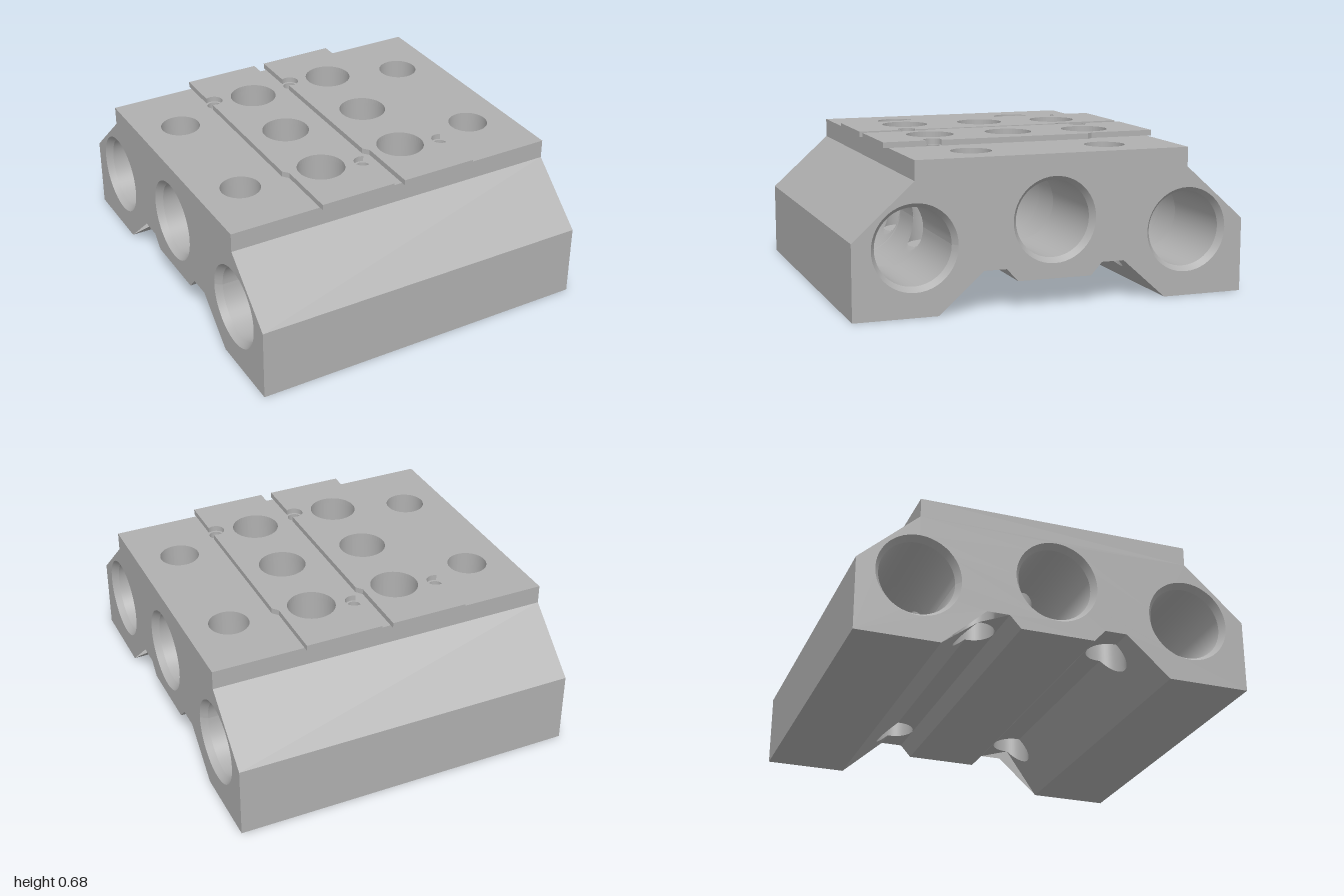
import * as THREE from 'three';

const HALF_D = 0.775, TOP = 0.65, PLATE_T = 0.025;
const PORT_R = 0.165, RIM_R = 0.185, MID_R = 0.195, MID_Z = 0.34;
const PILOT_R = 0.105, SCREW_R = 0.03, MOUNT_R = 0.088, MOUNT_X = 0.305, MOUNT_Z = 0.58;
const PILOT_FLOOR = 0.18, SEG = 48;

const steel = new THREE.MeshStandardMaterial({ color: 0xb0b0b0, side: THREE.DoubleSide });
steel.name = 'grey metal';

// Grid surface from a rule f(u, v) -> [x, y, z]; it faces du x dv
function sheet(nu, nv, f) {
  const pos = [], idx = [];
  for (let j = 0; j <= nv; j++) for (let i = 0; i <= nu; i++) pos.push(...f(i / nu, j / nv));
  for (let j = 0; j < nv; j++) for (let i = 0; i < nu; i++) {
    const a = j * (nu + 1) + i, c = a + nu + 1;
    idx.push(a, a + 1, c, a + 1, c + 1, c);
  }
  const g = new THREE.BufferGeometry();
  g.setAttribute('position', new THREE.Float32BufferAttribute(pos, 3));
  g.setIndex(idx);
  g.computeVertexNormals();
  return g;
}

// Flat shape drawn in (x, z), lifted to height(x)
function floorFace(shape, height, up) {
  const g = new THREE.ShapeGeometry(shape, SEG / 2), p = g.attributes.position;
  for (let i = 0; i < p.count; i++) p.setXYZ(i, p.getX(i), height(p.getX(i)), p.getY(i));
  if (up) g.index.array.reverse();
  g.computeVertexNormals();
  return g;
}

const circle = (x, y, r) => new THREE.Path().absarc(x, y, r, 0, Math.PI * 2, true);

// Wall of a vertical hole between two heights given as rules of x
const holeWall = (x, z, r, low, high) => sheet(SEG, 1, (u, v) => {
  const t = u * Math.PI * 2, px = x + r * Math.cos(t);
  return [px, v ? high(px) : low(px), z + r * Math.sin(t)];
});

const disc = (x, y, z, r) => new THREE.CircleGeometry(r, SEG).rotateX(-Math.PI / 2).translate(x, y, z);

// Cross-section, right half from the centre of the underside up to the top edge
const half = [[0.165, 0.12], [0.215, 0.175], [0.315, 0.175], [0.51, 0],
  [0.877, 0], [0.877, 0.325], [0.61, 0.565], [0.61, TOP]];
const outline = [...half, ...half.map(([x, y]) => [-x, y]).reverse()];
const grooveY = x => Math.min(0.175, 0.175 * (0.51 - Math.abs(x)) / 0.195);

// Bores running front to back: side = -1, 0, 1
const bores = [-1, 0, 1].map(side => ({ side, x: 0.61 * side, y: side ? 0.29 : 0.37 }));
// Stations and holes of the two top plates
const plateZ = [-0.2, 0.2];
const pilots = [], screws = [];
for (const z of plateZ) for (const s of [-1, 0, 1]) {
  pilots.push({ side: s, x: 0.362 * s, z: z + 0.02 * s });
  if (s) screws.push([0.406 * s, z - 0.163 * s]);
}
const mounts = [];
for (const x of [-MOUNT_X, MOUNT_X]) for (const z of [-MOUNT_Z, MOUNT_Z]) mounts.push([x, z]);

function buildBody(add) {
  // End faces with the three ports
  const end = new THREE.Shape(outline.map(p => new THREE.Vector2(...p)));
  bores.forEach(b => end.holes.push(circle(b.x, b.y, RIM_R)));
  for (const turn of [0, Math.PI])
    add(turn ? 'backFace' : 'frontFace',
      new THREE.ShapeGeometry(end, SEG / 2).translate(0, 0, HALF_D).rotateY(turn));

  // Plain long walls; drilled ones are made below
  const drilled = [1, 2, 7, 12, 13];
  outline.forEach(([x0, y0], i) => {
    if (drilled.includes(i)) return;
    const [x1, y1] = outline[(i + 1) % outline.length];
    add('longWall', sheet(1, 1, (u, v) => [x0 + (x1 - x0) * u, y0 + (y1 - y0) * u, (v * 2 - 1) * HALF_D]));
  });

  // Top face
  const top = new THREE.Shape([[-0.61, -HALF_D], [0.61, -HALF_D], [0.61, HALF_D], [-0.61, HALF_D]]
    .map(p => new THREE.Vector2(...p)));
  mounts.forEach(([x, z]) => top.holes.push(circle(x, z, MOUNT_R)));
  pilots.forEach(p => top.holes.push(circle(p.x, p.z, PILOT_R)));
  screws.forEach(([x, z]) => top.holes.push(circle(x, z, SCREW_R)));
  add('topFace', floorFace(top, () => TOP, true));

  // Groove roof and slope, each notched where the mounting holes break through
  const t0 = Math.acos((0.315 - MOUNT_X) / MOUNT_R);
  for (const [edge, inner] of [[0.215, true], [0.51, false]]) {
    const s = new THREE.Shape();
    s.moveTo(0.315, -HALF_D);
    for (const z of [-MOUNT_Z, MOUNT_Z]) s.absarc(MOUNT_X, z, MOUNT_R, -t0, t0, inner);
    s.lineTo(0.315, HALF_D);
    s.lineTo(edge, HALF_D);
    s.lineTo(edge, -HALF_D);
    for (const turn of [0, Math.PI])
      add(inner ? 'grooveRoof' : 'grooveSlope', floorFace(s, grooveY, false).rotateY(turn));
  }
}

function buildBores(add) {
  for (const b of bores) {
    const mine = pilots.filter(p => p.side === b.side);
    const dir = b.side === 0 ? Math.PI / 2 : b.side > 0 ? Math.PI : 0;
    // Half angle of the opening made by a pilot hole at depth z
    const gap = z => {
      for (const p of mine) {
        const s = Math.sqrt(Math.max(0, PILOT_R ** 2 - (z - p.z) ** 2));
        if (s < 1e-4) continue;
        if (!b.side) return Math.asin(s / MID_R);
        return Math.acos(Math.min(1, (0.248 - s) / MID_R));
      }
      return 0;
    };
    const tube = (name, rows, open) => add(name, sheet(SEG, rows.length - 1, (u, v) => {
      const [z, r] = rows[Math.round(v * (rows.length - 1))];
      const g = open ? gap(z) : 0, a = dir + g + u * (Math.PI * 2 - 2 * g);
      return [b.x + r * Math.cos(a), b.y + r * Math.sin(a), z];
    }));
    const c = HALF_D - 0.03;
    const profile = [[HALF_D, RIM_R], [c, PORT_R], [MID_Z, PORT_R], [MID_Z, MID_R]];
    const names = ['portChamfer', 'portWall', 'portStep'];
    names.forEach((n, i) => {
      tube(n, [profile[i], profile[i + 1]]);
      tube(n, [profile[i + 1], profile[i]].map(([z, r]) => [-z, r]));
    });
    // Wider middle chamber, with rows gathered at the pilot openings
    const rows = [[MID_Z, MID_R]];
    for (const p of [...mine].sort((m, n) => n.z - m.z))
      for (let k = 0; k <= 32; k++) rows.push([p.z + PILOT_R * Math.cos(k / 32 * Math.PI), MID_R]);
    rows.push([-MID_Z, MID_R]);
    tube('middleChamber', rows, true);
  }
}

function buildHoles(add) {
  const top = () => TOP;
  for (const [x, z] of mounts) add('mountingHole', holeWall(x, z, MOUNT_R, grooveY, top));
  for (const [x, z] of screws) {
    add('screwHole', holeWall(x, z, SCREW_R, () => TOP - 0.12, top));
    add('screwHoleFloor', disc(x, TOP - 0.12, z, SCREW_R));
  }
  for (const p of pilots) {
    const b = bores[p.side + 1];
    const h = x => Math.sqrt(Math.max(0, MID_R ** 2 - (x - b.x) ** 2));
    add('pilotHole', holeWall(p.x, p.z, PILOT_R, x => b.y + h(x), top));
    if (!p.side) continue;
    add('pilotHoleLower', holeWall(p.x, p.z, PILOT_R, () => PILOT_FLOOR,
      x => Math.max(PILOT_FLOOR, b.y - h(x))));
    add('pilotHoleFloor', disc(p.x, PILOT_FLOOR, p.z, PILOT_R));
  }
}

// Gasket plate with stepped edges, screw notches and three holes
function plateGeometry() {
  const s = new THREE.Shape(), t = Math.asin(0.022 / 0.04);
  s.moveTo(-0.633, -0.163);
  s.lineTo(-0.34, -0.163);
  s.lineTo(-0.313, -0.185);
  s.absarc(0.406, -0.163, 0.04, Math.PI + t, -t, true);
  s.lineTo(0.633, -0.185);
  s.lineTo(0.633, 0.163);
  s.lineTo(0.34, 0.163);
  s.lineTo(0.313, 0.185);
  s.absarc(-0.406, 0.163, 0.04, t, Math.PI - t, true);
  s.lineTo(-0.633, 0.185);
  for (const k of [-1, 0, 1]) s.holes.push(circle(0.362 * k, 0.02 * k, PILOT_R));
  return new THREE.ExtrudeGeometry(s, { depth: PLATE_T, bevelEnabled: false, curveSegments: SEG / 2 })
    .rotateX(Math.PI / 2).translate(0, TOP + PLATE_T, 0);
}

export function createModel() {
  const model = new THREE.Group();
  model.name = 'manifoldBlock';
  const part = name => {
    const group = new THREE.Group();
    group.name = name;
    model.add(group);
    return (meshName, geometry) => {
      const m = new THREE.Mesh(geometry, steel);
      m.name = meshName;
      group.add(m);
    };
  };
  buildBody(part('body'));
  buildBores(part('bores'));
  buildHoles(part('holes'));
  const addPlate = part('topPlates');
  for (const z of plateZ) addPlate('topPlate', plateGeometry().translate(0, 0, z));
  model.rotation.y = THREE.MathUtils.degToRad(-10);
  return model;
}
